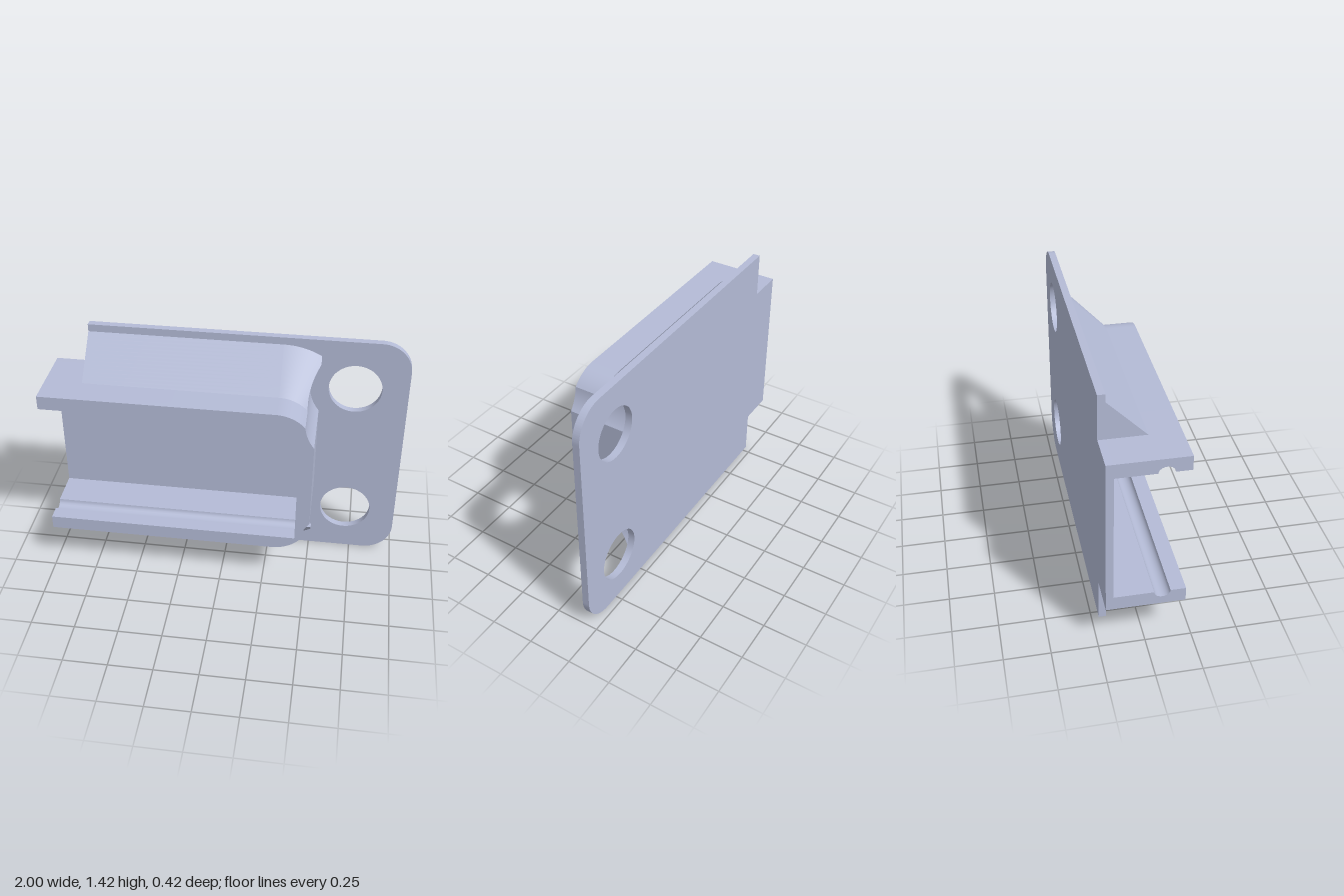
import * as THREE from 'three';
import { toCreasedNormals } from 'three/addons/utils/BufferGeometryUtils.js';

const MID = 0.71;                       // height of the horizontal symmetry line
const OUT = 0.457, INN = 0.377;         // half heights of the housing, outside and inside
const LEFT = -1, STEP = -0.79, SIDE = 0.51, CAVITY = 0.43;
const BACK = -0.21, FLOOR = -0.17, FRONT = 0.21, FLARE = 0.04;
const CORNER = { x: 0.3, y: 0.247, r: 0.21 };    // rounded housing corner
const CUT = { x: 0.705, y: 0.417, r: 0.25 };     // clearance around each screw hole
const HOLE_R = 0.148;

// points on an arc, both ends included
function arc(c, r, a0, a1, n) {
  return Array.from({ length: n + 1 }, (_, i) => {
    const a = a0 + (a1 - a0) * i / n;
    return new THREE.Vector2(c.x + r * Math.cos(a), c.y + r * Math.sin(a));
  });
}
const angle = (c, p) => {
  const a = Math.atan2(p.y - c.y, p.x - c.x);
  return a < 0 ? a + 2 * Math.PI : a;
};

// where a corner arc of radius r meets the clearance circle
function meet(r) {
  const dx = CUT.x - CORNER.x, dy = CUT.y - CORNER.y, d = Math.hypot(dx, dy);
  const a = (r * r - CUT.r * CUT.r + d * d) / (2 * d), h = Math.sqrt(r * r - a * a);
  return new THREE.Vector2(CORNER.x + (a * dx - h * dy) / d, CORNER.y + (a * dy + h * dx) / d);
}
const cutHalf = Math.sqrt(CUT.r ** 2 - (CUT.x - SIDE) ** 2);
const cutTop = new THREE.Vector2(SIDE, CUT.y + cutHalf);
const cutLow = new THREE.Vector2(SIDE, CUT.y - cutHalf);
const wallMeet = meet(CORNER.r);

// joins closed outlines at rising z into a capped solid
function loft(sections) {
  const flip = THREE.ShapeUtils.area(sections[0].pts) < 0;
  const rings = sections.map(({ pts, z }) => {
    const ring = pts.map(p => new THREE.Vector3(p.x, p.y, z));
    return flip ? ring.reverse() : ring;
  });
  const pos = [];
  const tri = (a, b, c) => {
    if (new THREE.Triangle(a, b, c).getArea() > 1e-9) for (const p of [a, b, c]) pos.push(p.x, p.y, p.z);
  };
  for (let k = 0; k < rings.length - 1; k++) {
    const a = rings[k], b = rings[k + 1];
    a.forEach((p, i) => {
      const j = (i + 1) % a.length;
      tri(p, a[j], b[j]);
      tri(p, b[j], b[i]);
    });
  }
  const cap = (ring, front) => {
    const flat = ring.map(p => new THREE.Vector2(p.x, p.y));
    for (const [i, j, k] of THREE.ShapeUtils.triangulateShape(flat, [])) {
      if (front) tri(ring[i], ring[j], ring[k]);
      else tri(ring[i], ring[k], ring[j]);
    }
  };
  cap(rings[0], false);
  cap(rings[rings.length - 1], true);
  const geo = new THREE.BufferGeometry();
  geo.setAttribute('position', new THREE.Float32BufferAttribute(pos, 3));
  return toCreasedNormals(geo, 0.5);
}
const mirror = pts => pts.map(p => new THREE.Vector2(p.x, -p.y));

// back plate with stepped left edge, rounded right corners and two holes
function plateGeometry() {
  const r = 0.17, s = new THREE.Shape();
  s.moveTo(LEFT, -OUT);
  s.lineTo(STEP, -OUT);
  s.lineTo(STEP, -MID);
  s.lineTo(1 - r, -MID);
  s.absarc(1 - r, -MID + r, r, -Math.PI / 2, 0, false);
  s.absarc(1 - r, MID - r, r, 0, Math.PI / 2, false);
  s.lineTo(STEP, MID);
  s.lineTo(STEP, OUT);
  s.lineTo(LEFT, OUT);
  s.closePath();
  for (const side of [1, -1]) {
    s.holes.push(new THREE.Path().absarc(CUT.x, side * CUT.y, HOLE_R, 0, Math.PI * 2, true));
  }
  const geo = new THREE.ExtrudeGeometry(s, { depth: FLOOR - BACK, bevelEnabled: false, curveSegments: 32 });
  return toCreasedNormals(geo.translate(0, 0, BACK), 0.5);
}

// U-shaped wall, open to the left, with a groove inside the rails
function wallSection(z, groove) {
  const half = [
    new THREE.Vector2(LEFT, INN + groove),
    new THREE.Vector2(LEFT, OUT),
    ...arc(CORNER, CORNER.r, Math.PI / 2, angle(CORNER, wallMeet), 12),
    ...arc(CUT, CUT.r, angle(CUT, wallMeet), angle(CUT, cutLow), 12).slice(1),
  ];
  const pts = [...half, ...mirror(half).reverse(),
    new THREE.Vector2(CAVITY, -INN - groove), new THREE.Vector2(CAVITY, INN + groove)];
  return { pts, z };
}
function wallGeometry() {
  const sections = [wallSection(FLOOR, 0)];
  for (let i = 0; i <= 10; i++) {
    const a = Math.PI * i / 10;
    sections.push(wallSection(0.085 - 0.043 * Math.cos(a), 0.035 * Math.sin(a)));
  }
  sections.push(wallSection(FRONT, 0));
  return loft(sections);
}

// 45 degree flare from the wall down to the plate, trimmed beside the hole
function flareSection(d, side) {
  const r = CORNER.r + d;
  let end = meet(r), top = end;
  if (end.x > SIDE) {
    end = new THREE.Vector2(SIDE, CORNER.y + Math.sqrt(r * r - (SIDE - CORNER.x) ** 2));
    top = cutTop;
  }
  const pts = [
    new THREE.Vector2(STEP, wallMeet.y),
    new THREE.Vector2(STEP, OUT + d),
    ...arc(CORNER, r, Math.PI / 2, angle(CORNER, end), 14),
    ...arc(CUT, CUT.r, angle(CUT, top), angle(CUT, wallMeet), 12),
  ];
  return { pts: side > 0 ? pts : mirror(pts), z: FLARE - d };
}
function flareGeometry(side) {
  const n = 14, depth = FLARE - FLOOR;
  return loft(Array.from({ length: n + 1 }, (_, i) => flareSection(depth * (1 - i / n), side)));
}

export function createModel() {
  const group = new THREE.Group();
  group.name = 'slideBracket';
  const paint = new THREE.MeshStandardMaterial({ color: 0xb4bbd6 });
  paint.name = 'paleBlueGrey';
  const add = (name, geometry) => {
    const mesh = new THREE.Mesh(geometry, paint);
    mesh.name = name;
    mesh.position.y = MID;
    group.add(mesh);
  };
  add('backPlate', plateGeometry());
  add('housingWall', wallGeometry());
  add('upperFlare', flareGeometry(1));
  add('lowerFlare', flareGeometry(-1));
  return group;
}
